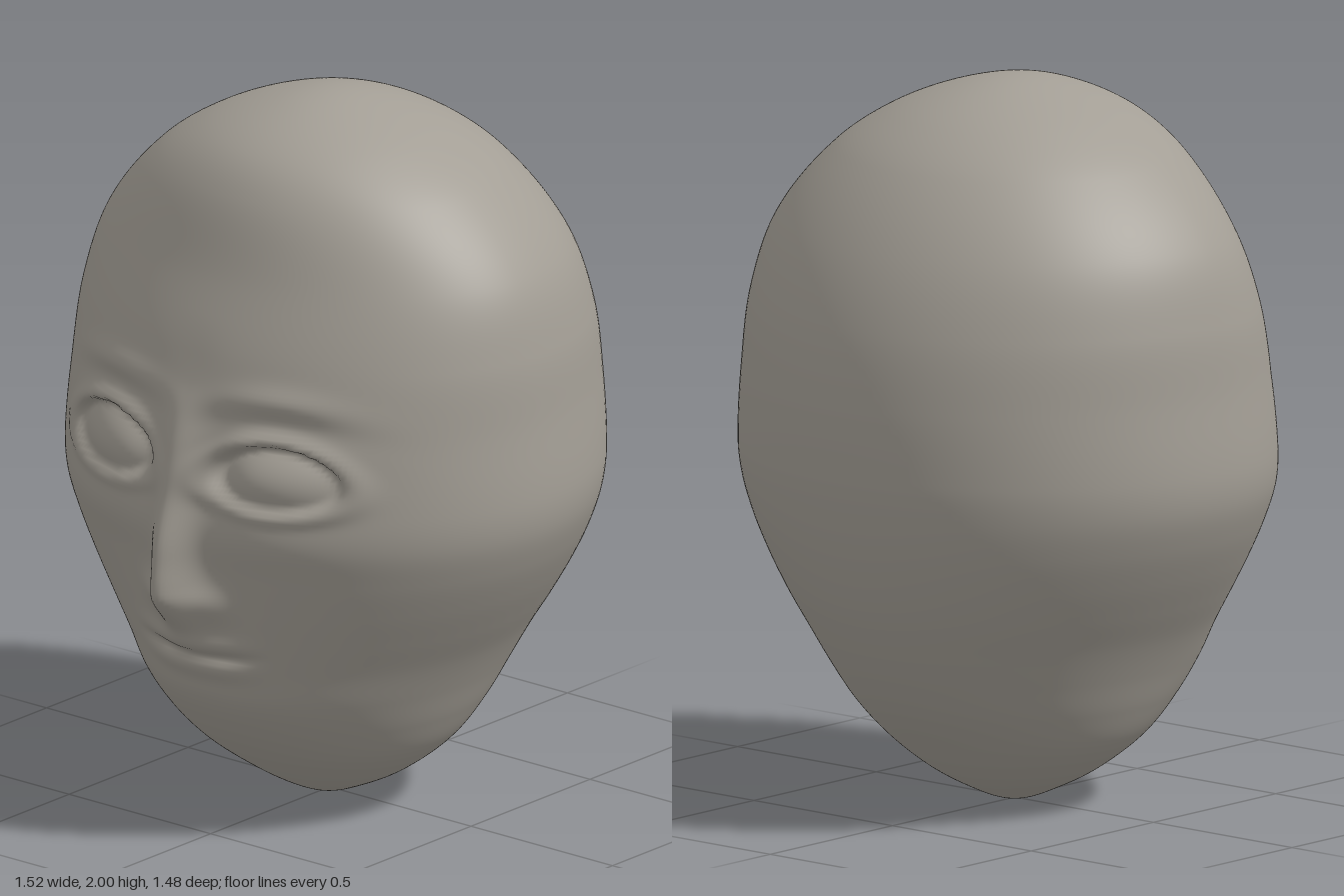
import * as THREE from 'three';

// Head profile rows: height, half width, front depth, back depth
const PROFILE = [
  [0, 0, 0, 0], [0.03, 0.11, 0.11, 0.11], [0.1, 0.245, 0.23, 0.235], [0.2, 0.365, 0.365, 0.355],
  [0.3, 0.43, 0.465, 0.455], [0.4, 0.48, 0.535, 0.53], [0.5, 0.535, 0.562, 0.59], [0.6, 0.6, 0.585, 0.64],
  [0.7, 0.662, 0.607, 0.677], [0.8, 0.715, 0.628, 0.705], [0.9, 0.752, 0.645, 0.724], [1, 0.762, 0.643, 0.735],
  [1.2, 0.747, 0.62, 0.733], [1.4, 0.73, 0.57, 0.7], [1.6, 0.67, 0.49, 0.62], [1.8, 0.5, 0.41, 0.475],
  [1.9, 0.35, 0.325, 0.345], [1.98, 0.14, 0.15, 0.15], [2, 0, 0, 0],
];
// Nose ridge: height, projection, width
const NOSE = [
  [0.4, 0, 0.09], [0.52, 0.008, 0.09], [0.615, 0.048, 0.085], [0.72, 0.118, 0.07], [0.765, 0.118, 0.065],
  [0.85, 0.095, 0.06], [1, 0.055, 0.06], [1.2, 0.026, 0.065], [1.32, 0, 0.08], [1.5, 0, 0.08],
];

// Smooth interpolation of one table column; key turns a height into the spline parameter
function sample(table, y, col, key) {
  const n = table.length;
  let i = 0;
  while (i < n - 2 && y > table[i + 1][0]) i++;
  const k = (j) => key(table[j][0]), v = (j) => table[j][col];
  const slope = (j) => {
    const a = Math.max(j - 1, 0), b = Math.min(j + 1, n - 1);
    return (v(b) - v(a)) / (k(b) - k(a));
  };
  const h = k(i + 1) - k(i);
  const t = THREE.MathUtils.clamp((key(y) - k(i)) / h, 0, 1), t2 = t * t, t3 = t2 * t;
  return (2 * t3 - 3 * t2 + 1) * v(i) + (t3 - 2 * t2 + t) * h * slope(i)
    + (3 * t2 - 2 * t3) * v(i + 1) + (t3 - t2) * h * slope(i + 1);
}

const poleKey = (y) => Math.acos(THREE.MathUtils.clamp(1 - y, -1, 1));
const bell = (d, s) => Math.exp(-(d * d) / (s * s));
const smooth = THREE.MathUtils.smoothstep;

// Forward relief of the face; the same on both sides
function relief(x, y) {
  const ax = Math.abs(x);
  let d = 0;

  // Nose ridge and wings
  if (y > 0.4 && y < 1.5) {
    d += sample(NOSE, y, 1, (s) => s) * bell(x, sample(NOSE, y, 2, (s) => s));
  }
  d += 0.022 * bell(ax - 0.1, 0.05) * bell(y - 0.71, 0.05);

  // Brow ridge with a hollow below it
  const browY = 1.275 - 0.5 * (ax - 0.27) ** 2;
  d += 0.014 * bell(ax - 0.28, 0.17) * (bell(y - browY - 0.035, 0.035) - bell(y - browY + 0.03, 0.035));

  // Hollow beside the nose bridge
  d -= 0.014 * bell(ax - 0.13, 0.06) * bell(y - 1.1, 0.12);

  // Eye opening, eyeball and lids
  const u = (ax - 0.285) / 0.175;
  const v = (y - 1.1 + 0.012 * u * u) / 0.085;
  const r = Math.hypot(u, v);
  const upper = THREE.MathUtils.clamp(0.65 + 0.35 * v, 0.35, 1);
  d -= 0.05 * upper * (1 - smooth(r, 0.85, 1.12));
  d += 0.04 * Math.max(0, 1 - r * r);
  d += 0.014 * bell(r - 1.25, 0.22);

  // Cheek
  d += 0.01 * bell(ax - 0.3, 0.2) * bell(y - 0.92, 0.08);

  // Lips
  const mouth = 1 - smooth(ax, 0.08, 0.25);
  const lipY = 0.54 + 0.25 * x * x;
  d += mouth * (0.014 * bell(y - lipY - 0.035, 0.03) - 0.016 * bell(y - lipY, 0.016)
    + 0.014 * bell(y - lipY + 0.042, 0.03));
  return d;
}

// Closed skin made of elliptical rings, with columns packed more tightly over the face
function headGeometry(rows, cols) {
  const pos = [0, 0, 0], index = [];
  for (let j = 1; j < rows; j++) {
    const y = 1 - Math.cos((Math.PI * j) / rows);
    const [w, front, back] = [1, 2, 3].map((c) => sample(PROFILE, y, c, poleKey));
    for (let i = 0; i < cols; i++) {
      const s = (2 * Math.PI * i) / cols;
      const a = s - 0.5 * Math.sin(s);
      const x = w * Math.sin(a), c = Math.cos(a);
      const z = c > 0 ? front * c + relief(x, y) * smooth(c, 0.1, 0.5) : back * c;
      pos.push(x, y, z);
    }
  }
  const top = pos.length / 3;
  pos.push(0, 2, 0);
  const at = (j, i) => 1 + (j - 1) * cols + (i % cols);
  for (let i = 0; i < cols; i++) {
    index.push(0, at(1, i + 1), at(1, i));
    for (let j = 1; j < rows - 1; j++) {
      index.push(at(j, i), at(j, i + 1), at(j + 1, i + 1), at(j, i), at(j + 1, i + 1), at(j + 1, i));
    }
    index.push(at(rows - 1, i), at(rows - 1, i + 1), top);
  }
  const g = new THREE.BufferGeometry();
  g.setAttribute('position', new THREE.Float32BufferAttribute(pos, 3));
  g.setIndex(index);
  g.computeVertexNormals();
  return g;
}

export function createModel() {
  const clay = new THREE.MeshStandardMaterial({ color: 0xa39e95 });
  clay.name = 'warm grey clay';
  const head = new THREE.Mesh(headGeometry(250, 240), clay);
  head.name = 'head';
  const group = new THREE.Group();
  group.name = 'mannequinHead';
  group.add(head);
  return group;
}
